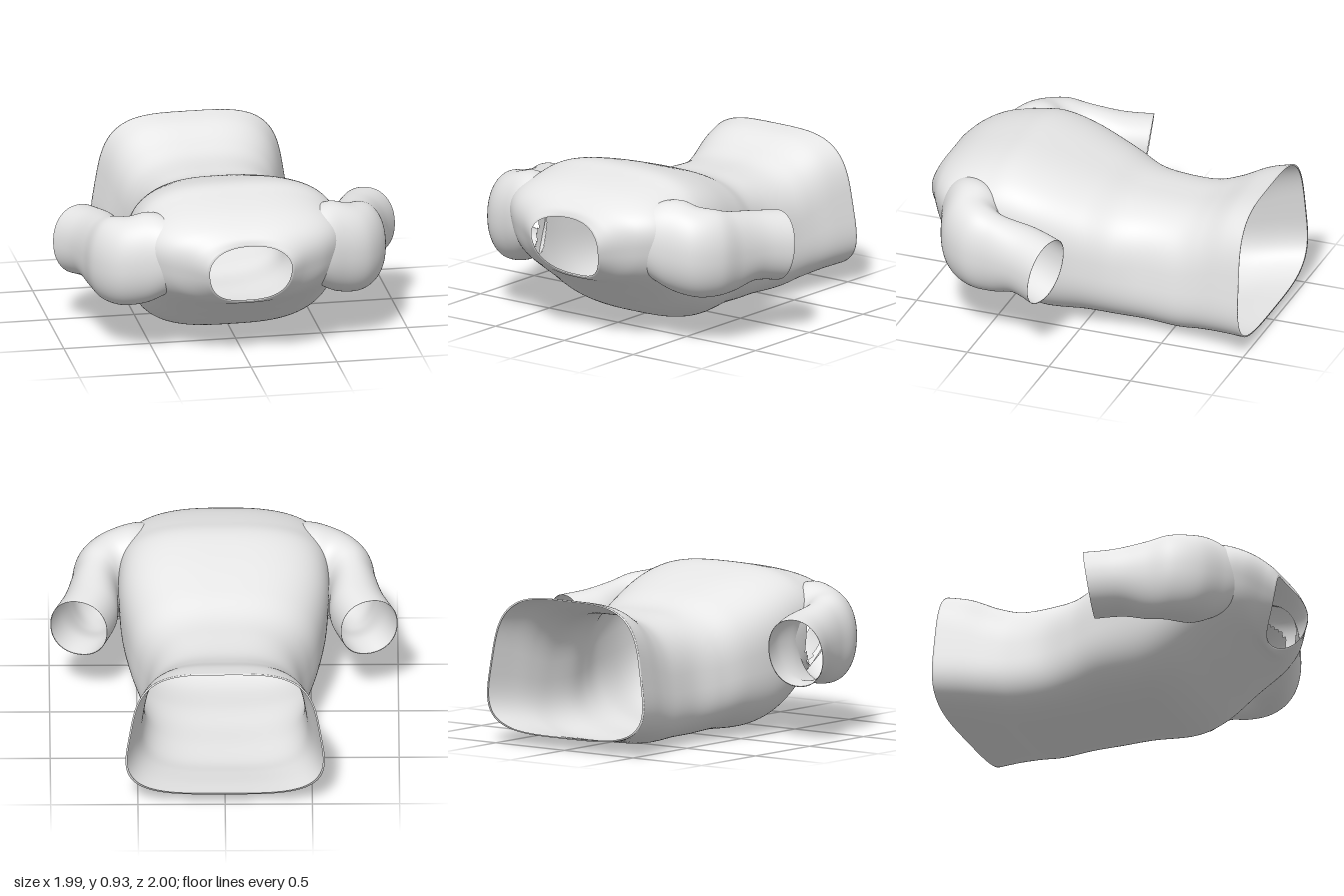
import * as THREE from 'three';

const cloth = new THREE.MeshStandardMaterial({ color: 0xe6e6e6, side: THREE.DoubleSide });
cloth.name = 'lightGreyCloth';

// Smoothly resample rows of section parameters
function resample(rows, steps) {
  const out = [], last = rows.length - 1;
  const row = i => rows[Math.min(last, Math.max(0, i))];
  for (let k = 0; k <= last * steps; k++) {
    const i = Math.min(last - 1, Math.floor(k / steps)), t = k / steps - i;
    out.push(rows[0].map((_, c) => {
      const [a, b, d, e] = [row(i - 1)[c], row(i)[c], row(i + 1)[c], row(i + 2)[c]];
      return b + 0.5 * t * (d - a + t * (2 * a - 5 * b + 4 * d - e + t * (3 * (b - d) + e - a)));
    }));
  }
  return out;
}

// Rounded-box outline in the range -1..1
function outline(angle, n) {
  const p = v => Math.sign(v) * Math.abs(v) ** (2 / n);
  return [p(Math.cos(angle)), p(Math.sin(angle))];
}

// Skin a list of sections; point(section, angle, scale) gives a position,
// and faces whose corner satisfies hidden(x, y, z) are left open
function loft(sections, point, hidden, name, lips) {
  const sides = 120, pos = [], index = [];
  const rings = sections.map(s => [s, 1]);
  if (lips.includes('start')) rings.unshift([sections[0], 0.955]);
  if (lips.includes('end')) rings.push([sections.at(-1), 0.98]);
  for (const [s, scale] of rings)
    for (let j = 0; j < sides; j++) pos.push(...point(s, j / sides * Math.PI * 2, scale));
  for (let i = 0; i < rings.length - 1; i++)
    for (let j = 0; j < sides; j++) {
      const a = i * sides + j, b = i * sides + (j + 1) % sides;
      if (hidden(...pos.slice(a * 3, a * 3 + 3))) continue;
      index.push(a, a + sides, b, b, a + sides, b + sides);
    }
  const g = new THREE.BufferGeometry();
  g.setAttribute('position', new THREE.Float32BufferAttribute(pos, 3));
  g.setIndex(index);
  g.computeVertexNormals();
  const mesh = new THREE.Mesh(g, cloth);
  mesh.name = name;
  return mesh;
}

export function createModel() {
  const group = new THREE.Group();
  group.name = 'shirt';

  // Torso from collar to hem: zTop, yTop, zBottom, yBottom, halfWidth, squareness, taper, sideBow
  const torso = resample([
    [0.97, 0.735, 0.87, 0.36, 0.247, 2.4, -0.12, 0.07],
    [0.95, 0.775, 0.855, 0.345, 0.32, 2.5, -0.1, 0.05],
    [0.88, 0.83, 0.82, 0.33, 0.46, 2.6, -0.1, 0.03],
    [0.77, 0.878, 0.74, 0.28, 0.56, 2.6, -0.1, 0.01],
    [0.6, 0.917, 0.6, 0.185, 0.585, 2.8, -0.08, 0],
    [0.45, 0.935, 0.42, 0.07, 0.6, 3, -0.05, 0],
    [0.25, 0.895, 0.25, 0.015, 0.592, 3, -0.03, 0],
    [0, 0.82, 0, 0.02, 0.545, 2.8, 0.02, 0],
    [-0.18, 0.755, -0.18, 0.01, 0.49, 2.8, 0.06, 0],
    [-0.35, 0.74, -0.35, 0.01, 0.45, 3, 0.1, 0],
    [-0.55, 0.74, -0.55, 0.005, 0.46, 3, 0.12, 0],
    [-0.7, 0.78, -0.7, 0.03, 0.48, 3.2, 0.12, 0],
    [-0.85, 0.845, -0.85, 0.055, 0.515, 3.5, 0.12, 0],
    [-0.975, 0.87, -0.998, 0.07, 0.55, 3.7, 0.12, 0],
  ], 8);
  const armhole = (x, y, z) =>
    Math.abs(x) > 0.5 && ((z - 0.62) / 0.13) ** 2 + ((y - 0.57) / 0.19) ** 2 < 1;
  group.add(loft(torso, ([zt, yt, zb, yb, w, n, taper, bow], angle, k) => {
    const [u, v] = outline(angle, n);
    return [
      u * w * (1 - taper * v) * k,
      (yt + yb) / 2 + v * (yt - yb) / 2 * k,
      (zt + zb) / 2 + v * (zt - zb) / 2 + bow * u * u,
    ];
  }, armhole, 'torso', ['start', 'end']));

  // True well inside the torso, where the sleeve needs no cloth
  const insideTorso = (x, y, z) => {
    const gap = s => Math.abs((s[0] + s[2]) / 2 - z);
    const [, yt, , yb, w, n, taper] = torso.reduce((a, b) => (gap(b) < gap(a) ? b : a));
    const v = (2 * y - yt - yb) / (yt - yb), u = x / (w * (1 - taper * v));
    return Math.abs(u) ** n + Math.abs(v) ** n < 0.8;
  };

  // Sleeve from shoulder to cuff: innerX, innerZ, outerX, outerZ, yBottom, yTop, lean
  const sleeve = resample([
    [0.34, 0.52, 0.34, 0.86, 0.43, 0.79, 0],
    [0.44, 0.48, 0.46, 0.855, 0.37, 0.835, 0],
    [0.51, 0.45, 0.58, 0.82, 0.315, 0.845, 0],
    [0.56, 0.44, 0.745, 0.75, 0.29, 0.815, 0],
    [0.59, 0.42, 0.85, 0.61, 0.29, 0.795, 0],
    [0.605, 0.36, 0.88, 0.45, 0.3, 0.765, 0],
    [0.61, 0.2, 0.925, 0.28, 0.335, 0.735, -0.02],
    [0.67, 0.04, 0.995, 0.13, 0.32, 0.715, -0.03],
  ], 8);
  for (const [side, name] of [[1, 'leftSleeve'], [-1, 'rightSleeve']])
    group.add(loft(sleeve, ([xi, zi, xo, zo, yb, yt, lean], angle, k) => {
      const [u, v] = outline(angle, 2.15);
      return [
        side * ((xi + xo) / 2 + u * (xo - xi) / 2 * k),
        (yt + yb) / 2 + v * (yt - yb) / 2 * k,
        (zi + zo) / 2 + u * (zo - zi) / 2 * k + lean * v,
      ];
    }, insideTorso, name, ['end']));

  return group;
}
